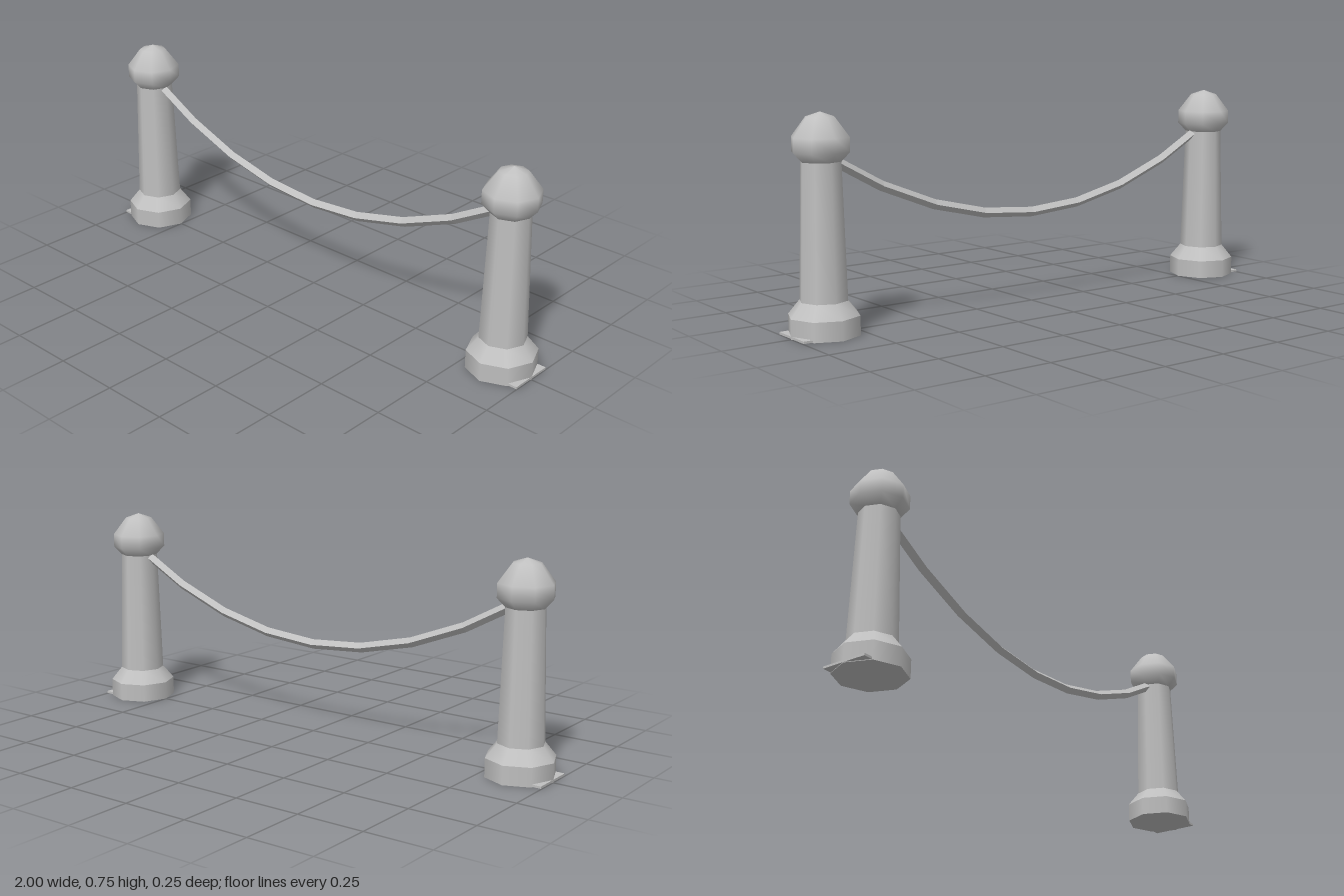
import * as THREE from 'three';

const SIDES = 8;
const POST_X = 0.876;

// Eight-sided turned band from [radius, height] points, smooth within the band
function turned(points) {
  return new THREE.LatheGeometry(points.map(([r, y]) => new THREE.Vector2(r, y)), SIDES);
}

// Shallow sagging curve between the posts
class SagCurve extends THREE.Curve {
  getPoint(t, target = new THREE.Vector3()) {
    const x = (t * 2 - 1) * 0.86;
    return target.set(x, 0.335 + 0.36 * x * x, 0);
  }
  getPointAt(t, target) {
    return this.getPoint(t, target);
  }
}

export function createModel() {
  const model = new THREE.Group();
  model.name = 'ropeBarrier';
  const grey = new THREE.MeshStandardMaterial({ color: 0xc0c0c0 });
  grey.name = 'grey';

  const add = (parent, name, geometry) => {
    const mesh = new THREE.Mesh(geometry, grey);
    mesh.name = name;
    parent.add(mesh);
    return mesh;
  };

  for (const side of [1, -1]) {
    const post = new THREE.Group();
    post.name = side > 0 ? 'leftPost' : 'rightPost';
    post.position.x = side * POST_X;
    model.add(post);

    // Foot: underside, upright band and chamfer
    add(post, 'footUnderside', turned([[0, 0], [0.125, 0]]));
    add(post, 'footBand', turned([[0.125, 0], [0.125, 0.068]]));
    add(post, 'footChamfer', turned([[0.125, 0.068], [0.084, 0.118]]));

    // Tapered shaft
    add(post, 'shaft', turned([[0.084, 0.118], [0.07, 0.59]]));

    // Rounded knob with a shallow pointed top
    add(post, 'knob', turned([
      [0.06, 0.583], [0.07, 0.585], [0.1, 0.617], [0.1, 0.667], [0.05, 0.733], [0, 0.75],
    ]));

    // Thin ground plate showing past the outer side of the foot
    const plate = add(post, 'groundPlate', new THREE.BoxGeometry(0.124, 0.008, 0.17));
    plate.position.set(side * 0.062, 0.006, 0);
  }

  // Diamond-section rope with flat faces
  const rope = new THREE.TubeGeometry(new SagCurve(), 8, 0.018, 4, false).toNonIndexed();
  rope.computeVertexNormals();
  add(model, 'rope', rope);

  return model;
}
